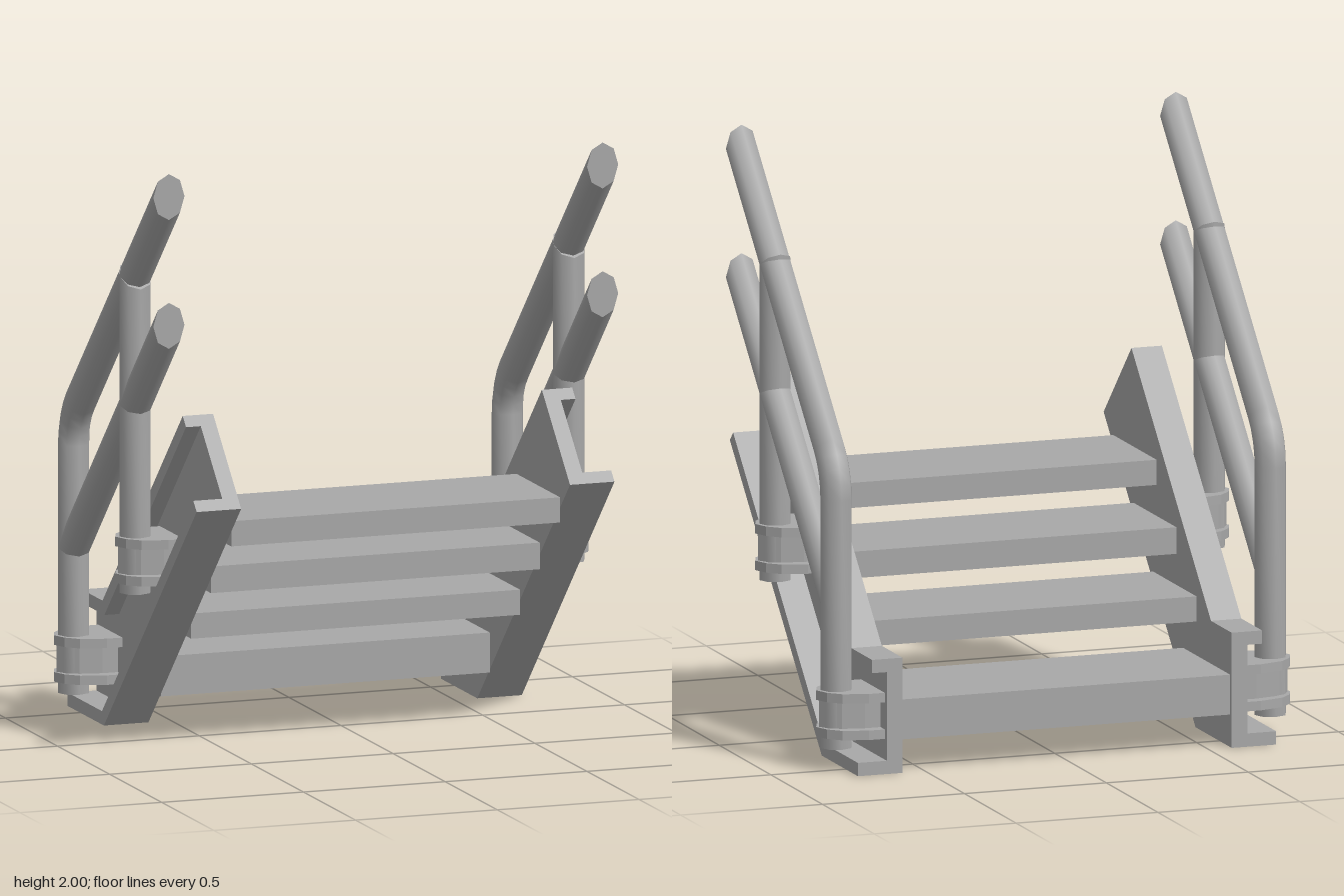
import * as THREE from 'three';

const steel = new THREE.MeshStandardMaterial({ color: 0xa8a8a8 });
steel.name = 'grey steel';

const R = 0.055, SIDES = 8;

// Plate outlined in [z, y] and extruded across x from x0 to x1.
function sidePlate(points, x0, x1) {
  const shape = new THREE.Shape(points.map(p => new THREE.Vector2(...p)));
  const g = new THREE.ExtrudeGeometry(shape, { depth: x1 - x0, bevelEnabled: false });
  return g.rotateY(-Math.PI / 2).translate(x1, 0, 0);
}

// Plate outlined in [x, z] (symmetric in z) and extruded upward from y0 to y1.
function levelPlate(points, y0, y1) {
  const shape = new THREE.Shape(points.map(p => new THREE.Vector2(...p)));
  const g = new THREE.ExtrudeGeometry(shape, { depth: y1 - y0, bevelEnabled: false });
  return g.rotateX(-Math.PI / 2).translate(0, y0, 0);
}

// Pipe through stations { y, z, vy, vz }; (vy, vz) sets the slant of each ring.
function pipe(stations) {
  const pos = [], idx = [];
  const addRing = s => {
    const start = pos.length / 3;
    for (let k = 0; k < SIDES; k++) {
      const a = k / SIDES * Math.PI * 2, w = R * Math.sin(a);
      pos.push(R * Math.cos(a), s.y + s.vy * w, s.z + s.vz * w);
    }
    return start;
  };
  const rings = stations.map(addRing);
  for (let i = 0; i + 1 < rings.length; i++) {
    for (let k = 0; k < SIDES; k++) {
      const n = (k + 1) % SIDES, a = rings[i], b = rings[i + 1];
      idx.push(a + k, a + n, b + k, a + n, b + n, b + k);
    }
  }
  // Flat end caps with their own vertices
  const c0 = addRing(stations[0]), c1 = addRing(stations[stations.length - 1]);
  for (let k = 1; k < SIDES - 1; k++) {
    idx.push(c0, c0 + k + 1, c0 + k, c1, c1 + k, c1 + k + 1);
  }
  const g = new THREE.BufferGeometry();
  g.setAttribute('position', new THREE.Float32BufferAttribute(pos, 3));
  g.setIndex(idx);
  g.computeVertexNormals();
  return g;
}

export function createModel() {
  const model = new THREE.Group();
  model.name = 'stairSection';
  const add = (parent, name, geometry) => {
    const m = new THREE.Mesh(geometry, steel);
    m.name = name;
    parent.add(m);
    return m;
  };

  // Treads: [back z, front z, bottom y, top y]
  const treads = new THREE.Group();
  treads.name = 'treads';
  model.add(treads);
  [[-0.605, -0.15, 0.11, 0.245], [-0.28, 0.14, 0.36, 0.445],
    [-0.085, 0.33, 0.55, 0.64], [0.107, 0.525, 0.745, 0.83]].forEach(([z0, z1, y0, y1], i) => {
    add(treads, 'tread' + (i + 1), new THREE.BoxGeometry(1.16, y1 - y0, z1 - z0)
      .translate(0, (y0 + y1) / 2, (z0 + z1) / 2));
  });

  // Channel profile of the stringers
  const web = [[-0.62, 0], [-0.27, 0], [0.62, 0.89], [0.35, 1.16], [-0.42, 0.39], [-0.62, 0.39]];
  const topFlange = [[-0.62, 0.345], [-0.401, 0.345], [0.382, 1.128], [0.35, 1.16], [-0.42, 0.39], [-0.62, 0.39]];
  const bottomFlange = [[-0.62, 0], [-0.27, 0], [0.62, 0.89], [0.588, 0.922], [-0.289, 0.045], [-0.62, 0.045]];

  // Rail stations: vertical post, bend, then a 45 degree slope cut off upright
  const railStations = [{ y: 0.075, z: -0.485, vy: 0, vz: -1 }];
  const bend = 0.217;
  for (let i = 0; i <= 4; i++) {
    const a = i / 4 * Math.PI / 4, vy = Math.sin(a), vz = -Math.cos(a);
    railStations.push({ y: 0.915 + bend * vy, z: -0.485 + bend + bend * vz, vy, vz });
  }
  railStations.push({ y: 1.92, z: 0.43, vy: Math.SQRT2, vz: 0 });

  for (const s of [1, -1]) {
    const side = s > 0 ? 'left' : 'right';
    const stringer = new THREE.Group();
    stringer.name = side + 'Stringer';
    const rail = new THREE.Group();
    rail.name = side + 'Handrail';
    model.add(stringer, rail);

    const across = (pts, a, b) => sidePlate(pts, Math.min(s * a, s * b), Math.max(s * a, s * b));
    add(stringer, 'web', across(web, 0.58, 0.635));
    add(stringer, 'topFlange', across(topFlange, 0.635, 0.687));
    add(stringer, 'bottomFlange', across(bottomFlange, 0.635, 0.737));

    // Handrail pipes
    const pipes = {
      topRail: railStations,
      midRail: [{ y: 0.565, z: -0.485, vy: Math.SQRT2, vz: 0 }, { y: 1.485, z: 0.43, vy: Math.SQRT2, vz: 0 }],
      frontPost: [{ y: 0.525, z: 0.105, vy: 0, vz: -1 }, { y: 1.595, z: 0.105, vy: Math.SQRT1_2, vz: -1 }],
    };
    for (const [name, stations] of Object.entries(pipes)) {
      add(rail, name, pipe(stations)).position.x = s * 0.765;
    }

    // Brackets: two tapered plates around a narrower clamp
    const half = [[0.635, 0.115], [0.69, 0.115], [0.775, 0.09], [0.815, 0.05], [0.835, 0]];
    const outline = (dx, k) => {
      const upper = half.map(([x, z]) => [s * (x - (x > 0.7 ? dx : 0)), z * k]);
      return [...upper, ...upper.slice(0, -1).reverse().map(([x, z]) => [x, -z])];
    };
    for (const [name, y, z] of [['backBracket', 0.115, -0.485], ['frontBracket', 0.56, 0.105]]) {
      const bracket = new THREE.Group();
      bracket.name = name;
      bracket.position.set(0, y, z);
      rail.add(bracket);
      add(bracket, 'lowerPlate', levelPlate(outline(0, 1), 0, 0.032));
      add(bracket, 'clamp', levelPlate(outline(0.01, 0.65), 0.032, 0.124));
      add(bracket, 'upperPlate', levelPlate(outline(0, 1), 0.124, 0.156));
    }
  }
  return model;
}
